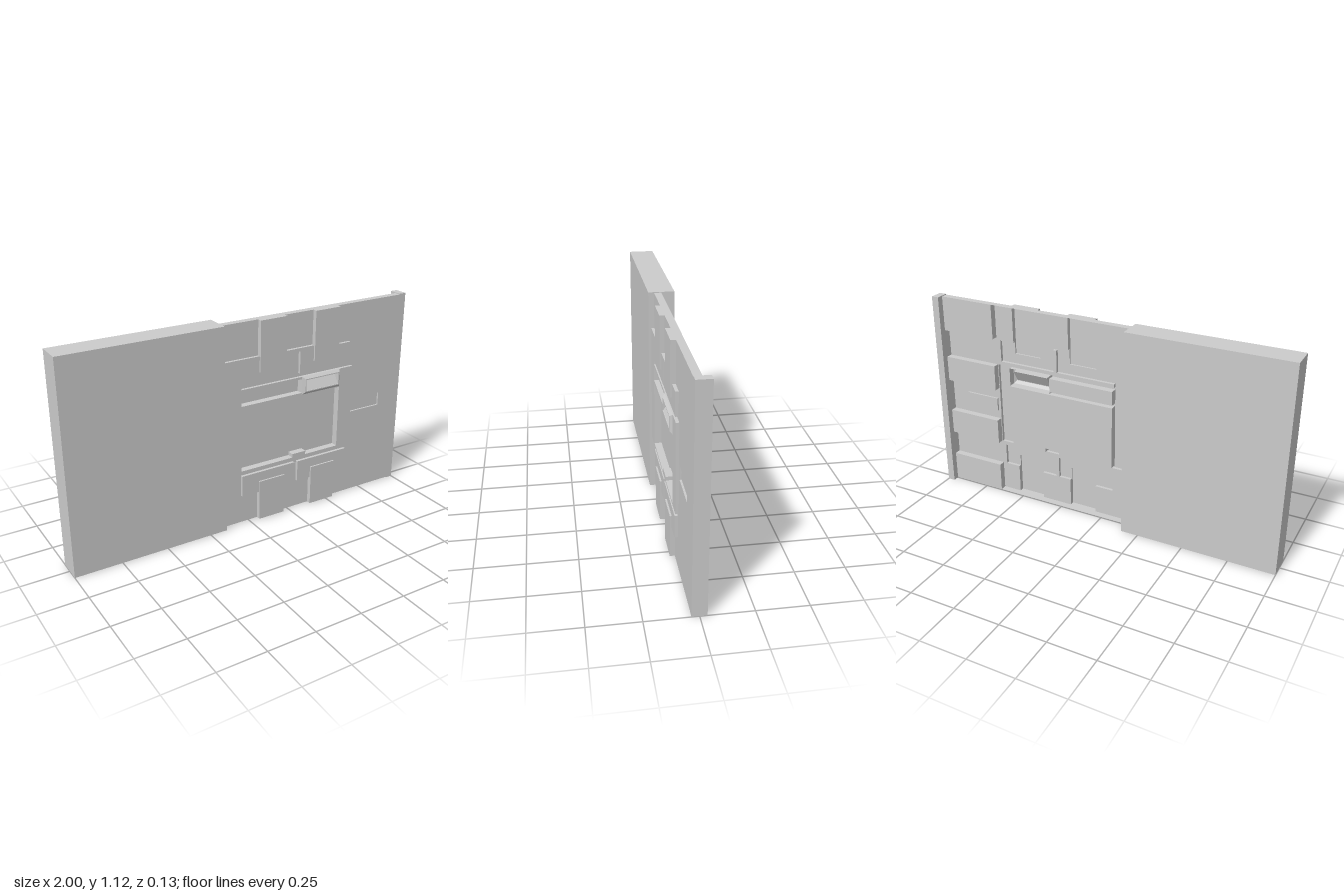
import * as THREE from 'three';

const mat = new THREE.MeshStandardMaterial({ color: 0xcccccc, side: THREE.DoubleSide });

// Box given by its lower and upper limits on each axis
function box(name, x0, x1, y0, y1, z0, z1) {
  const m = new THREE.Mesh(new THREE.BoxGeometry(x1 - x0, y1 - y0, z1 - z0), mat);
  m.position.set((x0 + x1) / 2, (y0 + y1) / 2, (z0 + z1) / 2);
  m.name = name;
  return m;
}

function quadMesh(name, quads) {
  const pos = [];
  for (const [a, b, c, d] of quads) pos.push(...a, ...b, ...c, ...a, ...c, ...d);
  const g = new THREE.BufferGeometry();
  g.setAttribute('position', new THREE.Float32BufferAttribute(pos, 3));
  g.computeVertexNormals();
  const m = new THREE.Mesh(g, mat);
  m.name = name;
  return m;
}

// Depth levels of the pressed sheet
const BASE = 0.037, RAISED = 0.053, PAD = 0.062, POCKET = 0.015, SLOT = 0.027;
// Pressed rectangles [x0, x1, y0, y1, depth]; later ones override earlier ones
const presses = [
  [-0.155, 0.96, 0.004, 1.116, BASE],
  [-0.155, 0.645, 0.305, 0.77, RAISED],     // central frame
  [-0.155, 0.46, 0.77, 0.93, RAISED],       // upper plate
  [0.46, 0.625, 0.77, 0.91, RAISED],
  [-0.055, 0.645, 0.77, 0.79, BASE],        // grooves in the plate
  [0.28, 0.30, 0.79, 0.913, BASE],
  [-0.05, 0.28, 0.165, 0.283, RAISED],      // lower plates
  [0.30, 0.625, 0.165, 0.283, RAISED],
  [-0.055, 0.56, 0.315, 0.665, POCKET],     // large pocket with bottom tab
  [0.265, 0.35, 0.315, 0.335, RAISED],
  [-0.055, 0.315, 0.68, 0.757, POCKET],     // upper pocket
  [0.315, 0.56, 0.67, 0.77, null],          // opening for the handle
  [0.66, 0.855, 0.493, 0.567, SLOT],        // side slot
];
for (const x of [0.052, 0.385]) {           // hinge pads at top and bottom
  presses.push([x, x + 0.157, 0.845, 1.116, PAD], [x, x + 0.157, 0.004, 0.23, PAD]);
}

// Sheet built as stepped cells with upright walls wherever the depth changes
function pressedSheet() {
  const sorted = (i) => [...new Set(presses.flatMap((p) => [p[i], p[i + 1]]))].sort((a, b) => a - b);
  const xs = sorted(0), ys = sorted(2), quads = [];
  const depth = (i, j) => {
    if (i < 0 || j < 0 || i >= xs.length - 1 || j >= ys.length - 1) return 0;
    const x = (xs[i] + xs[i + 1]) / 2, y = (ys[j] + ys[j + 1]) / 2;
    let z = 0;
    for (const p of presses) if (x > p[0] && x < p[1] && y > p[2] && y < p[3]) z = p[4];
    return z;
  };
  for (let i = 0; i < xs.length; i++) {
    for (let j = 0; j < ys.length; j++) {
      const x0 = xs[i], y0 = ys[j], x1 = xs[i + 1], y1 = ys[j + 1];
      const z = depth(i, j), zl = depth(i - 1, j), zb = depth(i, j - 1);
      if (x1 !== undefined && y1 !== undefined && z !== null) {
        quads.push([[x0, y0, z], [x1, y0, z], [x1, y1, z], [x0, y1, z]]);
      }
      if (y1 !== undefined && z !== null && zl !== null && z !== zl) {
        quads.push([[x0, y0, zl], [x0, y0, z], [x0, y1, z], [x0, y1, zl]]);
      }
      if (x1 !== undefined && z !== null && zb !== null && z !== zb) {
        quads.push([[x0, y0, zb], [x1, y0, zb], [x1, y0, z], [x0, y0, z]]);
      }
    }
  }
  return quadMesh('pressedSheet', quads);
}

// Handle: sloped rim around a cup whose floor leans back towards the top
function handle() {
  const ring = (x0, x1, y0, y1, z0, z1 = z0) =>
    [[x0, y0, z0], [x1, y0, z0], [x1, y1, z1], [x0, y1, z1]];
  const rings = [
    ring(0.315, 0.56, 0.67, 0.77, POCKET),
    ring(0.315, 0.56, 0.67, 0.77, RAISED),
    ring(0.33, 0.548, 0.685, 0.757, 0.066),
    ring(0.335, 0.543, 0.69, 0.752, 0.066),
    ring(0.335, 0.543, 0.69, 0.752, 0.062, 0.025),
  ];
  const quads = [rings[4]];
  for (let r = 0; r < 4; r++) {
    for (let k = 0; k < 4; k++) {
      const n = (k + 1) % 4;
      quads.push([rings[r][k], rings[r][n], rings[r + 1][n], rings[r + 1][k]]);
    }
  }
  return quadMesh('handle', quads);
}

export function createModel() {
  const model = new THREE.Group();
  model.name = 'slidingPanel';
  model.add(box('thickBlock', -1, -0.155, 0, 1.12, -0.067, 0.067));
  model.add(box('edgeFlange', 0.96, 1, 0, 1.12, -0.035, 0.037));
  model.add(pressedSheet(), handle());
  // Stiffener blocks on the back beside the flange
  for (const [y0, y1] of [[0.004, 0.165], [0.305, 0.445], [0.63, 0.77], [0.925, 1.116]]) {
    model.add(box('backStiffener', 0.648, 0.96, y0, y1, 0, 0.036));
  }
  return model;
}
